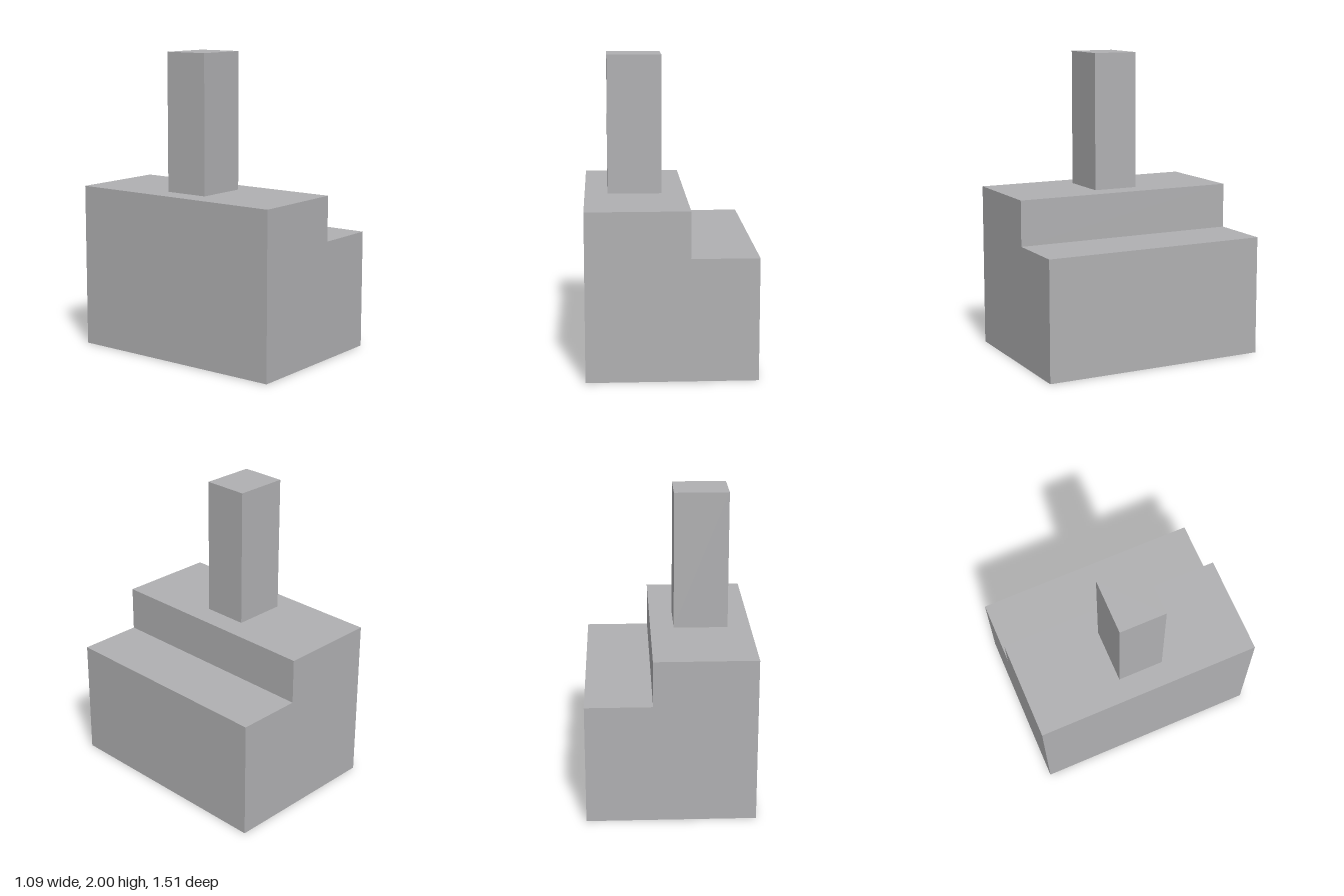
import * as THREE from 'three';

export function createModel() {
  const group = new THREE.Group();
  const grey = new THREE.MeshStandardMaterial({ color: 0xb0b0b2 });
  grey.name = 'grey';

  // Stepped block: side profile extruded along z
  const depth = 1.515;
  const profile = new THREE.Shape([
    [-0.545, 0], [0.545, 0], [0.545, 0.79], [0.115, 0.79], [0.115, 1.09], [-0.545, 1.09],
  ].map(([x, y]) => new THREE.Vector2(x, y)));
  const bodyGeometry = new THREE.ExtrudeGeometry(profile, { depth, bevelEnabled: false });
  bodyGeometry.translate(0, 0, -depth / 2);
  const body = new THREE.Mesh(bodyGeometry, grey);
  body.name = 'steppedBody';

  // Square tower standing on the upper step
  const tower = new THREE.Mesh(new THREE.BoxGeometry(0.355, 0.91, 0.303), grey);
  tower.name = 'tower';
  tower.position.set(-0.217, 1.545, 0);

  group.add(body, tower);
  return group;
}
